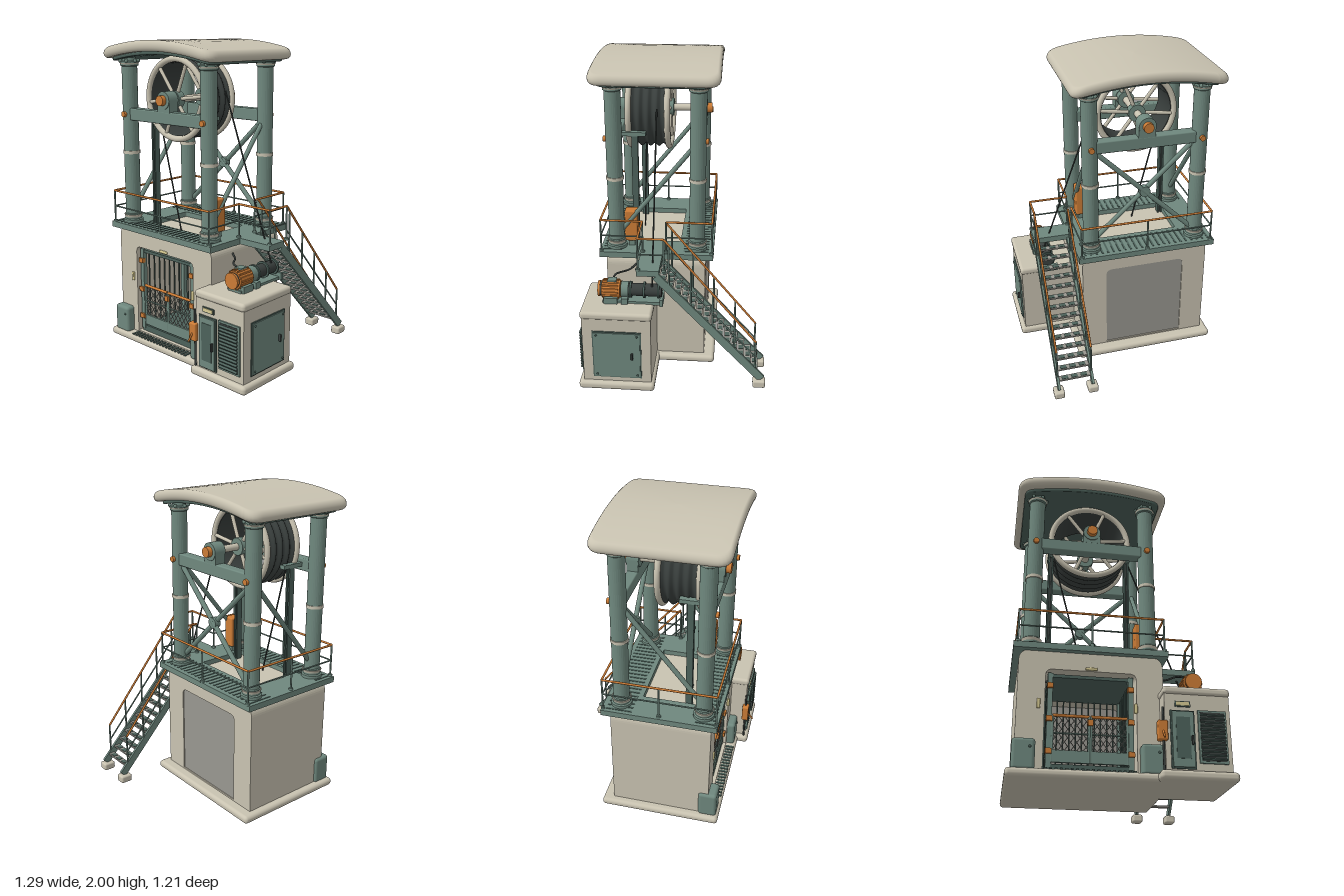
import * as THREE from 'three';
import { RoundedBoxGeometry } from 'three/addons/geometries/RoundedBoxGeometry.js';
import { ParametricGeometry } from 'three/addons/geometries/ParametricGeometry.js';

const paint = (color) => new THREE.MeshStandardMaterial({ color });
const cream = paint(0xc9c3b1), green = paint(0x6f887e), deep = paint(0x4d625b), orange = paint(0xcc7c36),
  dark = paint(0x3a403e), grey = paint(0x999790), yellow = paint(0xd8cc94);
const V = (x, y, z) => new THREE.Vector3(x, y, z);

export function createModel() {
  const root = new THREE.Group();
  const add = (name, geo, mat, x = 0, y = 0, z = 0, parent = root) => {
    const m = new THREE.Mesh(geo, mat);
    m.name = name;
    m.position.set(x, y, z);
    parent.add(m);
    return m;
  };
  // Boxes are given by their extents: x0, x1, y0, y1, z0, z1
  const box = (name, mat, a, b, c, d, e, f) =>
    add(name, new THREE.BoxGeometry(b - a, d - c, f - e), mat, (a + b) / 2, (c + d) / 2, (e + f) / 2);
  const soft = (name, mat, a, b, c, d, e, f, r) =>
    add(name, new RoundedBoxGeometry(b - a, d - c, f - e, 4, r), mat, (a + b) / 2, (c + d) / 2, (e + f) / 2);
  // Round bar and square beam between two points
  const bar = (name, mat, p, q, r, sides = 10, parent = root) => {
    const m = add(name, new THREE.CylinderGeometry(r, r, p.distanceTo(q), sides), mat, 0, 0, 0, parent);
    m.position.copy(p).lerp(q, 0.5);
    m.quaternion.setFromUnitVectors(V(0, 1, 0), q.clone().sub(p).normalize());
    return m;
  };
  const beam = (name, mat, p, q, w, h) => {
    const m = add(name, new THREE.BoxGeometry(w, h, p.distanceTo(q)), mat);
    m.position.copy(p).lerp(q, 0.5);
    m.lookAt(q);
    return m;
  };
  const roundRect = (x0, x1, y0, y1, r, rb = r, T = THREE.Shape) => {
    const s = new T();
    s.moveTo(x0 + rb, y0).lineTo(x1 - rb, y0).quadraticCurveTo(x1, y0, x1, y0 + rb).lineTo(x1, y1 - r)
      .quadraticCurveTo(x1, y1, x1 - r, y1).lineTo(x0 + r, y1).quadraticCurveTo(x0, y1, x0, y1 - r)
      .lineTo(x0, y0 + rb).quadraticCurveTo(x0, y0, x0 + rb, y0);
    return s;
  };

  // Plinths and the house with its through opening
  soft('housePlinth', cream, -0.635, 0.305, 0, 0.05, -0.27, 0.505, 0.022);
  soft('cabinetPlinth', cream, 0.2, 0.645, 0, 0.055, 0.095, 0.575, 0.022);
  const house = roundRect(-0.59, 0.26, 0.045, 0.77, 0.07, 0.001);
  house.holes.push(roundRect(-0.43, 0.1, 0.06, 0.655, 0.04, 0.001, THREE.Path));
  add('house', new THREE.ExtrudeGeometry(house, { depth: 0.635, bevelEnabled: false, curveSegments: 10 }), cream, 0, 0, -0.2);
  add('rearPanel', new THREE.ExtrudeGeometry(roundRect(-0.43, 0.1, 0.05, 0.655, 0.04, 0.001), { depth: 0.02, bevelEnabled: false }), grey, 0, 0, -0.193);
  for (const x of [-0.605, 0.115]) {
    soft('guardBlock', green, x, x + 0.13, 0.04, 0.22, 0.37, 0.49, 0.02);
    add('guardBolt', new THREE.SphereGeometry(0.008, 8, 6), deep, x + 0.1, 0.17, 0.49);
  }
  soft('doorLamp', yellow, -0.2, -0.13, 0.66, 0.678, 0.425, 0.445, 0.006);
  for (const x of [-0.475, 0.085]) soft('sideLamp', yellow, x, x + 0.02, 0.41, 0.47, 0.425, 0.445, 0.006);
  for (let i = 0; i < 18; i++) box('sillSlat', deep, -0.425 + i * 0.029, -0.41 + i * 0.029, 0.048, 0.056, 0.44, 0.495);

  // Lift cage with bars, lattice gates and roof
  box('cageFloor', deep, -0.41, 0.08, 0.06, 0.1, 0.02, 0.41);
  box('cageRoof', deep, -0.41, 0.08, 0.615, 0.635, 0.02, 0.41);
  for (const x of [-0.4, 0.07]) for (const z of [0.03, 0.4]) box('cagePost', green, x - 0.015, x + 0.015, 0.08, 0.64, z - 0.015, z + 0.015);
  for (let i = 1; i < 12; i++) bar('rearBar', deep, V(-0.4 + i * 0.039, 0.1, 0.03), V(-0.4 + i * 0.039, 0.62, 0.03), 0.005, 6);
  for (const x of [-0.4, 0.07]) {
    for (let i = 1; i < 8; i++) bar('sideBar', deep, V(x, 0.1, 0.03 + i * 0.046), V(x, 0.62, 0.03 + i * 0.046), 0.005, 6);
    for (const y of [0.17, 0.36, 0.56]) box('gateHinge', orange, x - 0.018, x + 0.018, y - 0.015, y + 0.015, 0.4, 0.428);
  }
  for (const x of [-0.38, -0.16]) {
    const w = 0.21;
    box('gateKickPlate', green, x, x + w, 0.11, 0.18, 0.398, 0.412);
    bar('gateTopRail', orange, V(x, 0.385, 0.405), V(x + w, 0.385, 0.405), 0.009);
    bar('gateMidRail', green, V(x, 0.28, 0.405), V(x + w, 0.28, 0.405), 0.005);
    for (const e of [x, x + w]) bar('gateStile', green, V(e, 0.11, 0.405), V(e, 0.385, 0.405), 0.008);
    for (let i = 0; i < 6; i++) for (let j = 0; j < 4; j++) {
      const a = x + i * 0.035, b = 0.18 + j * 0.05;
      bar('lattice', grey, V(a, b, 0.405), V(a + 0.035, b + 0.05, 0.405), 0.0025, 5);
      bar('lattice', grey, V(a + 0.035, b, 0.405), V(a, b + 0.05, 0.405), 0.0025, 5);
    }
  }
  box('gateLatch', orange, -0.18, -0.15, 0.33, 0.365, 0.405, 0.422);

  // Deck with shaft opening, landing and grating
  const deck = new THREE.Shape([[-0.625, -0.475], [0.29, -0.475], [0.29, -0.21], [0.525, -0.21], [0.525, -0.07], [0.29, -0.07], [0.29, 0.25], [-0.625, 0.25]]
    .map(([x, y]) => new THREE.Vector2(x, y)));
  deck.holes.push(roundRect(-0.43, 0.1, -0.32, 0.03, 0.01, 0.01, THREE.Path));
  add('deck', new THREE.ExtrudeGeometry(deck, { depth: 0.038, bevelEnabled: false }).rotateX(-Math.PI / 2), green, 0, 0.765, 0);
  for (let i = 0; i < 23; i++) for (const [a, b] of [[-0.22, -0.06], [0.335, 0.455]])
    box('deckGrating', deep, -0.6 + i * 0.038, -0.588 + i * 0.038, 0.8, 0.806, a, b);

  // Railings: orange top rail, green mid rail and posts
  const railing = (pts) => pts.slice(1).forEach(([x, z], i) => {
    const [x0, z0] = pts[i], n = Math.max(1, Math.round(Math.hypot(x - x0, z - z0) / 0.4));
    bar('topRail', orange, V(x0, 1.015, z0), V(x, 1.015, z), 0.007, 8);
    bar('midRail', green, V(x0, 0.91, z0), V(x, 0.91, z), 0.005, 8);
    for (let k = 0; k <= n; k++) {
      const px = x0 + (x - x0) * k / n, pz = z0 + (z - z0) * k / n;
      bar('railPost', green, V(px, 0.8, pz), V(px, 1.015, pz), 0.006, 8);
      bar('railFoot', green, V(px, 0.8, pz), V(px, 0.815, pz), 0.014, 8);
    }
  });
  railing([[0.27, 0.05], [0.27, -0.24], [-0.6, -0.24], [-0.6, 0.465], [0.27, 0.465], [0.27, 0.2], [0.517, 0.2], [0.517, 0.04]]);

  // Stairs
  const slopeY = (z) => 0.765 - (0.09 - z) * 1.06;
  for (const x of [0.295, 0.517]) {
    beam('stringer', green, V(x, slopeY(0.09), 0.09), V(x, slopeY(-0.58), -0.58), 0.016, 0.05);
    soft('stairFoot', cream, x - 0.033, x + 0.033, 0, 0.05, -0.605, -0.525, 0.012);
    const top = (z) => 1.015 - (0.04 - z) * 1.2;
    bar('stairRail', orange, V(x, top(0.04), 0.04), V(x, top(-0.535), -0.535), 0.007, 8);
    bar('stairMidRail', green, V(x, (top(0.04) + slopeY(0.04)) / 2, 0.04), V(x, (top(-0.535) + slopeY(-0.535)) / 2, -0.535), 0.005, 8);
    for (const z of [0.01, -0.125, -0.26, -0.4, -0.535]) bar('stairPost', green, V(x, slopeY(z), z), V(x, top(z), z), 0.006, 8);
  }
  for (let i = 0; i < 14; i++) {
    const z = 0.05 - i * 0.045, y = slopeY(z);
    box('tread', grey, 0.3, 0.512, y, y + 0.01, z - 0.02, z + 0.022);
    for (let k = 0; k < 3; k++) box('treadGrip', deep, 0.325 + k * 0.062, 0.365 + k * 0.062, y + 0.01, y + 0.013, z - 0.014, z + 0.014);
  }

  // Four columns
  const column = [[0, 0.8], [0.065, 0.8], [0.065, 0.822], [0.056, 0.828], [0.056, 0.86], [0.05, 0.865], [0.05, 1.83], [0.058, 1.835], [0.058, 1.86], [0.045, 1.865], [0.045, 1.9]];
  for (const x of [-0.52, 0.187]) for (const z of [0.375, -0.143]) {
    add('column', new THREE.LatheGeometry(column.map((p) => new THREE.Vector2(...p)), 28).toNonIndexed(), green, x, 0, z).geometry.computeVertexNormals();
    for (const [y, h] of [[0.845, 0.02], [1.275, 0.02], [1.845, 0.015]]) add('columnRing', new THREE.CylinderGeometry(0.059 - (y === 1.275 ? 0.004 : -0.003), 0.055, h, 28), cream, x, y, z);
    const s = z > 0 ? 1 : -1;
    bar('beamPin', orange, V(x, 1.525, z), V(x, 1.525, z + s * 0.065), 0.018, 16);
    for (let k = 0; k < 6; k++) {
      const a = k * Math.PI / 3;
      add('capBolt', new THREE.SphereGeometry(0.012, 8, 6), green, x + 0.058 * Math.cos(a), 1.865, z + 0.058 * Math.sin(a));
    }
  }
  // Cross beams, bearings and bracing
  for (const z of [0.375, -0.143]) {
    const s = z > 0 ? 1 : -1;
    soft('crossBeam', green, -0.49, 0.157, 1.487, 1.565, z - 0.035, z + 0.035, 0.008);
    box('bearingStand', green, -0.222, -0.112, 1.56, 1.635, z - 0.035, z + 0.035);
    bar('bearing', green, V(-0.167, 1.635, z - 0.04), V(-0.167, 1.635, z + 0.04), 0.055, 24);
    bar('axleCap', orange, V(-0.167, 1.635, z), V(-0.167, 1.635, z + s * 0.07), 0.032, 20);
  }
  bar('backBrace', green, V(-0.49, 1.49, -0.135), V(0.16, 0.87, -0.135), 0.016);
  bar('backBrace', green, V(0.157, 1.49, -0.15), V(-0.49, 0.87, -0.15), 0.016);
  add('braceJoint', new THREE.CylinderGeometry(0.035, 0.035, 0.04, 16).rotateX(Math.PI / 2), green, -0.167, 1.18, -0.143);
  for (const x of [-0.52, 0.187]) bar('sideBrace', green, V(x, 0.9, 0.355), V(x, 1.49, -0.12), 0.015);

  // Guide posts above the shaft
  for (const x of [-0.412, 0.078]) {
    for (const d of [-0.011, 0.011]) box('guidePost', deep, x + d - 0.005, x + d + 0.005, 0.64, 1.53, 0.24, 0.28);
    box('guideWeb', dark, x - 0.008, x + 0.008, 0.64, 1.53, 0.254, 0.266);
    box('guideBracket', green, x - 0.02, x + 0.02, 1.515, 1.54, 0.19, 0.345);
  }

  // Winding wheel
  const wheel = new THREE.Group();
  wheel.name = 'windingWheel';
  wheel.position.set(-0.167, 1.635, 0.18);
  root.add(wheel);
  const rim = [[0.228, -0.12], [0.255, -0.12]];
  for (let i = 0; i <= 24; i++) rim.push([0.243 + 0.01 * Math.cos(i * Math.PI / 3), -0.11 + i * 0.22 / 24]);
  rim.push([0.255, 0.12], [0.228, 0.12], [0.228, -0.12]);
  const rimMat = dark.clone();
  rimMat.side = THREE.DoubleSide;
  add('ropeDrum', new THREE.LatheGeometry(rim.map((p) => new THREE.Vector2(...p)), 64).rotateX(Math.PI / 2), rimMat, 0, 0, 0, wheel);
  for (const z of [-0.122, 0.122]) {
    add('wheelRim', new THREE.TorusGeometry(0.25, 0.019, 12, 64), cream, 0, 0, z, wheel);
    for (let k = 0; k < 6; k++) {
      const a = 0.13 + k * Math.PI / 3;
      bar('spoke', cream, V(0.04 * Math.cos(a), 0.04 * Math.sin(a), z), V(0.245 * Math.cos(a), 0.245 * Math.sin(a), z), 0.012, 10, wheel);
    }
    bar('hub', green, V(0, 0, z - 0.025), V(0, 0, z + 0.025), 0.055, 24, wheel);
  }
  bar('axle', cream, V(0, 0, -0.36), V(0, 0, 0.24), 0.022, 20, wheel);

  // Bent roof slab: concentric rounded outlines follow an edge profile
  const slab = (name, mat, hw, hd, h, r, e, y, drop) => {
    const n = 160, outline = roundRect(-hw, hw, -hd, hd, r).getSpacedPoints(n), prof = [];
    const steps = [0, 0.2, 0.4, 0.6, 0.8];
    steps.forEach((s) => prof.push([s, h]));
    for (let i = 0; i <= 10; i++) {
      const a = Math.PI / 2 - i * Math.PI / 10;
      prof.push([1 - e + e * Math.cos(a), h / 2 + h / 2 * Math.sin(a)]);
    }
    steps.reverse().forEach((s) => prof.push([s, 0]));
    const geo = new ParametricGeometry((u, v, t) => {
      const p = outline[Math.round(u * n) % n], [s, py] = prof[Math.round(v * (prof.length - 1))];
      t.set(p.x * s, py - drop * (p.x * s / 0.4825) ** 2, p.y * s);
    }, n, prof.length - 1);
    geo.computeVertexNormals();
    add(name, geo, mat, -0.167, y, 0.117);
  };
  slab('roof', cream, 0.4825, 0.393, 0.068, 0.075, 0.06, 1.932, 0.06);
  slab('roofLining', deep, 0.44, 0.345, 0.025, 0.05, 0.02, 1.912, 0.06);

  // Machine cabinet
  box('cabinet', cream, 0.235, 0.615, 0.05, 0.51, 0.115, 0.545);
  soft('cabinetLid', cream, 0.228, 0.623, 0.5, 0.55, 0.108, 0.555, 0.02);
  box('namePlateFrame', deep, 0.295, 0.385, 0.425, 0.458, 0.54, 0.552);
  box('namePlate', yellow, 0.302, 0.378, 0.431, 0.452, 0.54, 0.556);
  box('frontDoorFrame', deep, 0.265, 0.405, 0.065, 0.402, 0.54, 0.553);
  box('frontDoor', green, 0.273, 0.397, 0.073, 0.394, 0.54, 0.562);
  box('frontDoorPanel', deep, 0.295, 0.375, 0.12, 0.36, 0.54, 0.565);
  box('frontDoorHandle', dark, 0.38, 0.39, 0.2, 0.25, 0.56, 0.578);
  box('louverFrame', green, 0.425, 0.59, 0.1, 0.408, 0.54, 0.555);
  box('louverBack', dark, 0.437, 0.578, 0.112, 0.396, 0.54, 0.558);
  for (let i = 0; i < 13; i++) box('louverSlat', deep, 0.437, 0.578, 0.12 + i * 0.0212, 0.129 + i * 0.0212, 0.55, 0.57).rotation.x = 0.5;
  box('sideDoorFrame', deep, 0.61, 0.62, 0.085, 0.42, 0.175, 0.482);
  box('sideDoor', green, 0.61, 0.626, 0.093, 0.412, 0.183, 0.474);
  for (const z of [0.2, 0.455]) for (const y of [0.11, 0.395]) add('sideDoorBolt', new THREE.SphereGeometry(0.007, 8, 6), deep, 0.626, y, z);
  soft('sideDoorHandle', dark, 0.62, 0.642, 0.23, 0.275, 0.225, 0.24, 0.005);

  // Switch box with lever, and deck control box
  soft('switchBox', orange, 0.19, 0.248, 0.22, 0.335, 0.525, 0.57, 0.008);
  bar('switchLever', orange, V(0.22, 0.27, 0.565), V(0.22, 0.225, 0.6), 0.006, 8);
  bar('switchConduit', dark, V(0.225, 0.05, 0.545), V(0.225, 0.42, 0.545), 0.007, 8);
  soft('controlBox', orange, 0.12, 0.195, 0.84, 1.05, 0.24, 0.322, 0.01);
  box('controlBoxStand', green, 0.14, 0.18, 0.8, 0.85, 0.26, 0.3);

  // Winch: motor, gearbox and drum
  const spin = (name, mat, r, z0, z1) => bar(name, mat, V(0.44, 0.625, z0), V(0.44, 0.625, z1), r, 24);
  spin('motor', orange, 0.056, 0.32, 0.435);
  spin('motorFan', dark, 0.046, 0.43, 0.452);
  spin('motorCap', orange, 0.05, 0.447, 0.46);
  for (let k = 0; k < 16; k++) {
    const a = k * Math.PI / 8, f = 0.058;
    box('motorFin', orange, 0.437, 0.443, 0.62, 0.63, 0.33, 0.43).position.set(0.44 + f * Math.cos(a), 0.625 + f * Math.sin(a), 0.38);
  }
  box('motorTerminalBox', green, 0.415, 0.465, 0.67, 0.692, 0.345, 0.4);
  spin('gearbox', green, 0.05, 0.268, 0.315);
  spin('winchDrum', dark, 0.04, 0.06, 0.27);
  for (const z of [0.08, 0.17, 0.255]) spin('drumFlange', deep, 0.052, z - 0.006, z + 0.006);
  for (const [a, b] of [[0.045, 0.07], [0.27, 0.31], [0.335, 0.42]]) box('winchFoot', green, 0.375, 0.505, 0.545, 0.59, Math.max(a, 0.05), b);
  box('winchBed', green, 0.39, 0.49, 0.545, 0.565, 0.05, 0.43);

  // Ropes and motor cable
  bar('cageRope', dark, V(-0.4, 1.55, 0.24), V(-0.2, 0.76, 0.24), 0.005, 6);
  bar('winchRope', dark, V(0.085, 1.69, 0.12), V(0.465, 0.66, 0.12), 0.005, 6);
  const cable = new THREE.CatmullRomCurve3([V(0.25, 0.71, 0.24), V(0.31, 0.695, 0.28), V(0.37, 0.69, 0.36), V(0.43, 0.68, 0.37)]);
  add('motorCable', new THREE.TubeGeometry(cable, 20, 0.006, 8), dark);
  return root;
}
